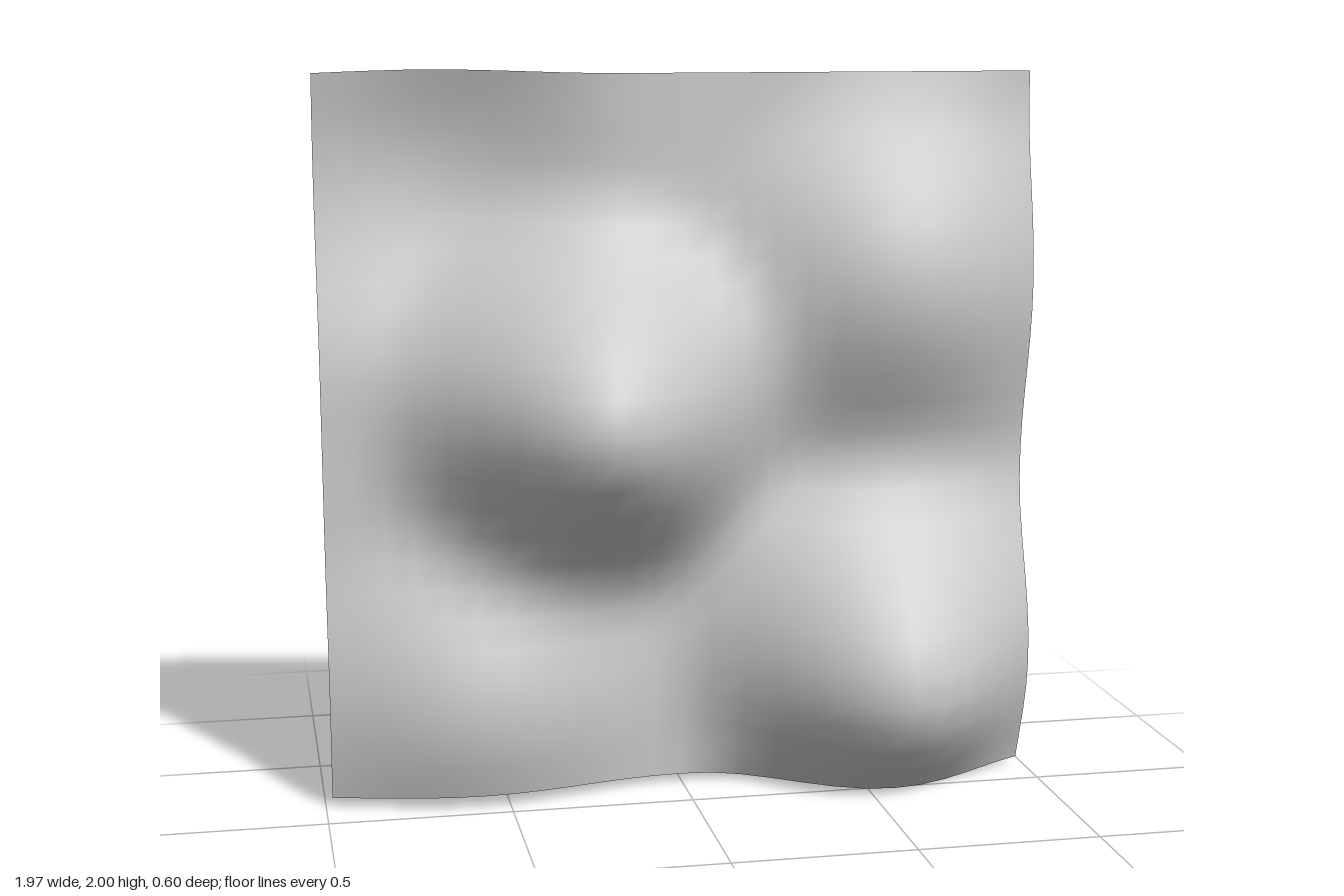
import * as THREE from 'three';

// Swells of the sheet: centre x, y, radius, height along z, small vertical drift
const swells = [
  [-0.26, 1.08, 0.63, 0.465, 0],     // main bulge
  [0.57, 0.37, 0.64, 0.405, -0.05],  // lower right bulge
  [0.6, 1.41, 0.64, 0.212, 0],       // upper right bulge
  [-0.58, 0.25, 0.62, 0.18, 0.02],   // lower left bulge
  [-0.68, 1.7, 0.6, -0.135, 0.02],   // upper left hollow
];
const BASE_Z = -0.165;

// Raised-cosine falloff, zero outside the radius
function falloff(d, r) {
  return d < r ? Math.cos((d / r) * Math.PI / 2) ** 2 : 0;
}

export function createModel() {
  const group = new THREE.Group();
  group.name = 'wavySheet';

  // Flat grid pushed out of its plane by the swells
  const geometry = new THREE.PlaneGeometry(1.965, 1.965, 24, 24);
  geometry.translate(0, 1.0075, 0);
  const pos = geometry.attributes.position;
  for (let i = 0; i < pos.count; i++) {
    const x = pos.getX(i), y = pos.getY(i);
    let z = BASE_Z, dy = 0;
    for (const [cx, cy, r, height, drift] of swells) {
      const f = falloff(Math.hypot(x - cx, y - cy), r);
      z += height * f;
      dy += drift * f;
    }
    pos.setXYZ(i, x, y + dy, z);
  }
  geometry.computeVertexNormals();

  const sheet = new THREE.Mesh(
    geometry,
    new THREE.MeshStandardMaterial({ color: 0xcccccc, side: THREE.DoubleSide })
  );
  sheet.name = 'sheet';
  group.add(sheet);
  return group;
}
